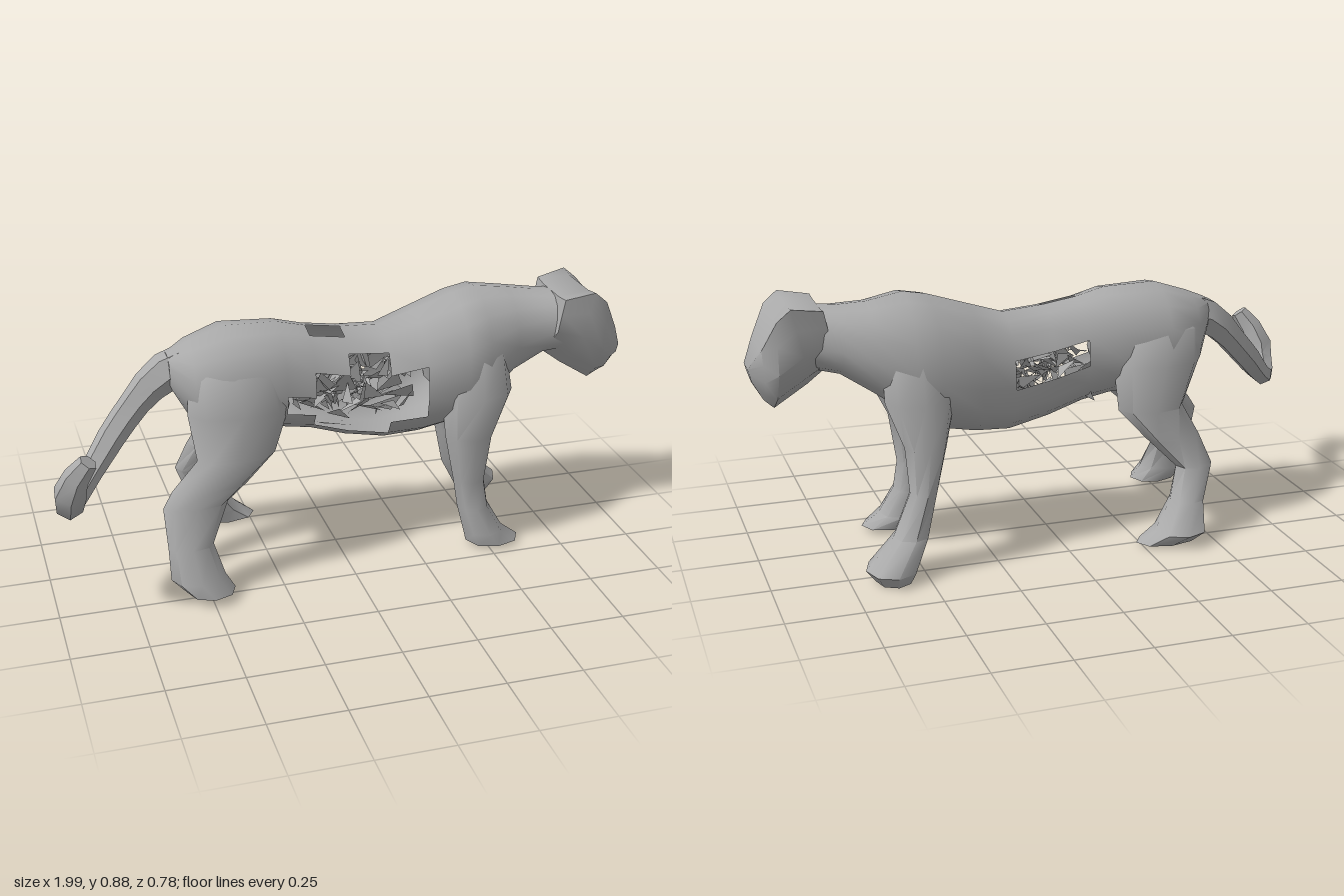
import * as THREE from 'three';
import { toCreasedNormals } from 'three/addons/utils/BufferGeometryUtils.js';

const V = (x, y, z) => new THREE.Vector3(x, y, z);
const grey = new THREE.MeshStandardMaterial({ color: 0xaaaaaa, side: THREE.DoubleSide });
grey.name = 'plain grey';

// Skin a list of equal-length rings, closing both ends; skip(i, j) leaves an opening.
function loft(rings, skip = () => false) {
  const n = rings[0].length, m = rings.length, pos = [], idx = [];
  rings.forEach(r => r.forEach(p => pos.push(p.x, p.y, p.z)));
  for (let i = 0; i < m - 1; i++) {
    for (let j = 0; j < n; j++) {
      if (skip(i, j)) continue;
      const k = (j + 1) % n, a = i * n, b = a + n;
      idx.push(a + j, a + k, b + k, a + j, b + k, b + j);
    }
  }
  [[0, true], [m - 1, false]].forEach(([i, first]) => {
    const c = rings[i].reduce((s, p) => s.add(p), V(0, 0, 0)).divideScalar(n);
    const centre = pos.length / 3;
    pos.push(c.x, c.y, c.z);
    for (let j = 0; j < n; j++) {
      const a = i * n + j, b = i * n + (j + 1) % n;
      idx.push(centre, first ? b : a, first ? a : b);
    }
  });
  const g = new THREE.BufferGeometry();
  g.setAttribute('position', new THREE.Float32BufferAttribute(pos, 3));
  g.setIndex(idx);
  return toCreasedNormals(g, 0.9);
}

// Slightly squared oval, as unit [cos, sin] pairs.
function oval(n, power) {
  return Array.from({ length: n }, (_, j) => {
    const a = j / n * Math.PI * 2;
    return [Math.cos(a), Math.sin(a)].map(t => Math.sign(t) * Math.abs(t) ** power);
  });
}

// Rows of [x, top, bottom, zMin, zMax] across the body; each section is widest below its middle.
function torso() {
  const rows = [
    [-0.57, 0.775, 0.67, -0.06, 0.06], [-0.5, 0.805, 0.54, -0.16, 0.14],
    [-0.38, 0.845, 0.48, -0.205, 0.175], [-0.2, 0.84, 0.48, -0.175, 0.145],
    [-0.1, 0.815, 0.46, -0.165, 0.13], [0.02, 0.797, 0.42, -0.17, 0.13],
    [0.16, 0.787, 0.39, -0.185, 0.13], [0.28, 0.825, 0.4, -0.22, 0.16],
    [0.42, 0.87, 0.43, -0.25, 0.18], [0.5, 0.885, 0.48, -0.24, 0.16],
    [0.62, 0.865, 0.57, -0.2, 0.1], [0.72, 0.855, 0.635, -0.155, 0.1],
    [0.8, 0.855, 0.65, -0.12, 0.11],
  ];
  const rings = rows.map(([x, t, b, z0, z1]) => oval(16, 0.9).map(([c, s]) => {
    const mid = b + 0.43 * (t - b);
    return V(x, mid + c * (c > 0 ? t - mid : mid - b), (z0 + z1) / 2 + s * (z1 - z0) / 2);
  }));
  // Ragged openings: one flank, a slit in the other, a small one on the back
  const torn = ['3,4', '4,3', '4,4', '4,5', '5,2', '5,3', '5,4', '5,5', '6,3', '6,4', '4,12', '5,12', '4,0'];
  return loft(rings, (i, j) => torn.includes(`${i},${j}`));
}

// Rows of [y, xMin, xMax, zMin, zMax] from hip or shoulder to paw.
function leg(rows) {
  return loft(rows.map(([y, x0, x1, z0, z1]) => oval(8, 0.95).map(([c, s]) =>
    V((x0 + x1) / 2 + c * (x1 - x0) / 2, y, (z0 + z1) / 2 + s * (z1 - z0) / 2))));
}

// Wide flat brow with ear corners, full cheeks and a narrow chin.
function head() {
  const half = [[0.55, 0.97], [1, 1], [1, 0.75], [1, 0.46], [0.6, 0.18]];
  const outline = [[0, 0.97], ...half, [0.1, 0], ...half.slice().reverse().map(([s, h]) => [-s, h])];
  // Rows of [top x, top y, bottom x, bottom y, half width, z centre]
  const rows = [
    [0.77, 0.86, 0.73, 0.65, 0.122, 0], [0.875, 0.878, 0.81, 0.59, 0.135, -0.005],
    [0.92, 0.84, 0.92, 0.52, 0.132, -0.005], [0.965, 0.74, 0.95, 0.545, 0.1, 0.01],
    [1, 0.66, 0.985, 0.605, 0.04, 0.035],
  ];
  return loft(rows.map(([tx, ty, bx, by, w, z]) => outline.map(([s, h]) =>
    V(bx + (tx - bx) * h, by + (ty - by) * h, z + s * w))));
}

// Slim tail sweeping back and to one side, with a broad raised tip.
function tail() {
  const curve = new THREE.CatmullRomCurve3([
    V(-0.44, 0.74, 0), V(-0.58, 0.705, -0.005), V(-0.73, 0.565, 0.025), V(-0.85, 0.445, 0.12),
    V(-0.92, 0.4, 0.21), V(-0.945, 0.43, 0.3), V(-0.935, 0.52, 0.34), V(-0.885, 0.6, 0.365),
  ]);
  const steps = 14, frames = curve.computeFrenetFrames(steps);
  const radii = [0.08, 0.066, 0.05, 0.046, 0.038, 0.038, 0.055, 0.03];
  return loft(Array.from({ length: steps + 1 }, (_, i) => {
    const t = i / steps, f = t * 7, k = Math.min(6, Math.floor(f));
    const r = THREE.MathUtils.lerp(radii[k], radii[k + 1], f - k);
    return oval(6, 1).map(([c, s]) => curve.getPointAt(t)
      .addScaledVector(frames.normals[i], c * r).addScaledVector(frames.binormals[i], s * r));
  }));
}

// Crumpled slivers inside the torn flanks.
function shards() {
  let seed = 11;
  const rnd = (a, b) => {
    seed = (seed * 16807) % 2147483647;
    return a + (b - a) * seed / 2147483647;
  };
  const pos = [];
  for (let i = 0; i < 110; i++) {
    const c = [rnd(-0.11, 0.22), rnd(0.5, 0.67), rnd(-0.1, 0.075)];
    for (let k = 0; k < 3; k++) {
      pos.push(c[0] + rnd(-0.07, 0.07), c[1] + rnd(-0.05, 0.05), c[2] + rnd(-0.04, 0.04));
    }
  }
  const g = new THREE.BufferGeometry();
  g.setAttribute('position', new THREE.Float32BufferAttribute(pos, 3));
  g.computeVertexNormals();
  return g;
}

export function createModel() {
  const model = new THREE.Group();
  model.name = 'bigCat';
  const add = (name, geometry) => {
    const mesh = new THREE.Mesh(geometry, grey);
    mesh.name = name;
    model.add(mesh);
  };
  add('torso', torso());
  add('flankShards', shards());
  add('head', head());
  add('tail', tail());
  add('nearForeleg', leg([
    [0.8, 0.42, 0.52, 0, 0.08], [0.69, 0.36, 0.58, 0, 0.16], [0.56, 0.34, 0.59, 0.04, 0.198],
    [0.42, 0.35, 0.52, 0.06, 0.208], [0.25, 0.385, 0.495, 0.07, 0.19], [0.15, 0.4, 0.51, 0.07, 0.2],
    [0.06, 0.42, 0.56, 0.07, 0.23], [0.015, 0.43, 0.62, 0.08, 0.23],
  ]));
  add('farForeleg', leg([
    [0.8, 0.42, 0.54, -0.16, -0.06], [0.69, 0.37, 0.6, -0.235, -0.08], [0.56, 0.37, 0.6, -0.265, -0.11],
    [0.42, 0.41, 0.55, -0.295, -0.16], [0.27, 0.45, 0.54, -0.3, -0.185], [0.13, 0.48, 0.6, -0.315, -0.18],
    [0.04, 0.53, 0.7, -0.385, -0.185], [0, 0.55, 0.67, -0.36, -0.2],
  ]));
  add('nearHindLeg', leg([
    [0.8, -0.42, -0.3, 0, 0.08], [0.72, -0.52, -0.22, 0, 0.165], [0.6, -0.53, -0.19, 0.04, 0.2],
    [0.45, -0.51, -0.25, 0.09, 0.21], [0.36, -0.6, -0.35, 0.12, 0.215], [0.31, -0.635, -0.42, 0.14, 0.228],
    [0.18, -0.63, -0.48, 0.18, 0.262], [0.08, -0.63, -0.45, 0.18, 0.32], [0.03, -0.58, -0.42, 0.19, 0.335],
  ]));
  add('farHindLeg', leg([
    [0.8, -0.42, -0.3, -0.11, -0.03], [0.71, -0.51, -0.22, -0.19, -0.03], [0.6, -0.5, -0.19, -0.225, -0.06],
    [0.45, -0.43, -0.2, -0.24, -0.1], [0.35, -0.48, -0.29, -0.26, -0.14], [0.25, -0.52, -0.39, -0.275, -0.17],
    [0.14, -0.48, -0.36, -0.31, -0.19], [0.05, -0.47, -0.29, -0.38, -0.2], [0.01, -0.44, -0.23, -0.34, -0.21],
  ]));
  return model;
}
